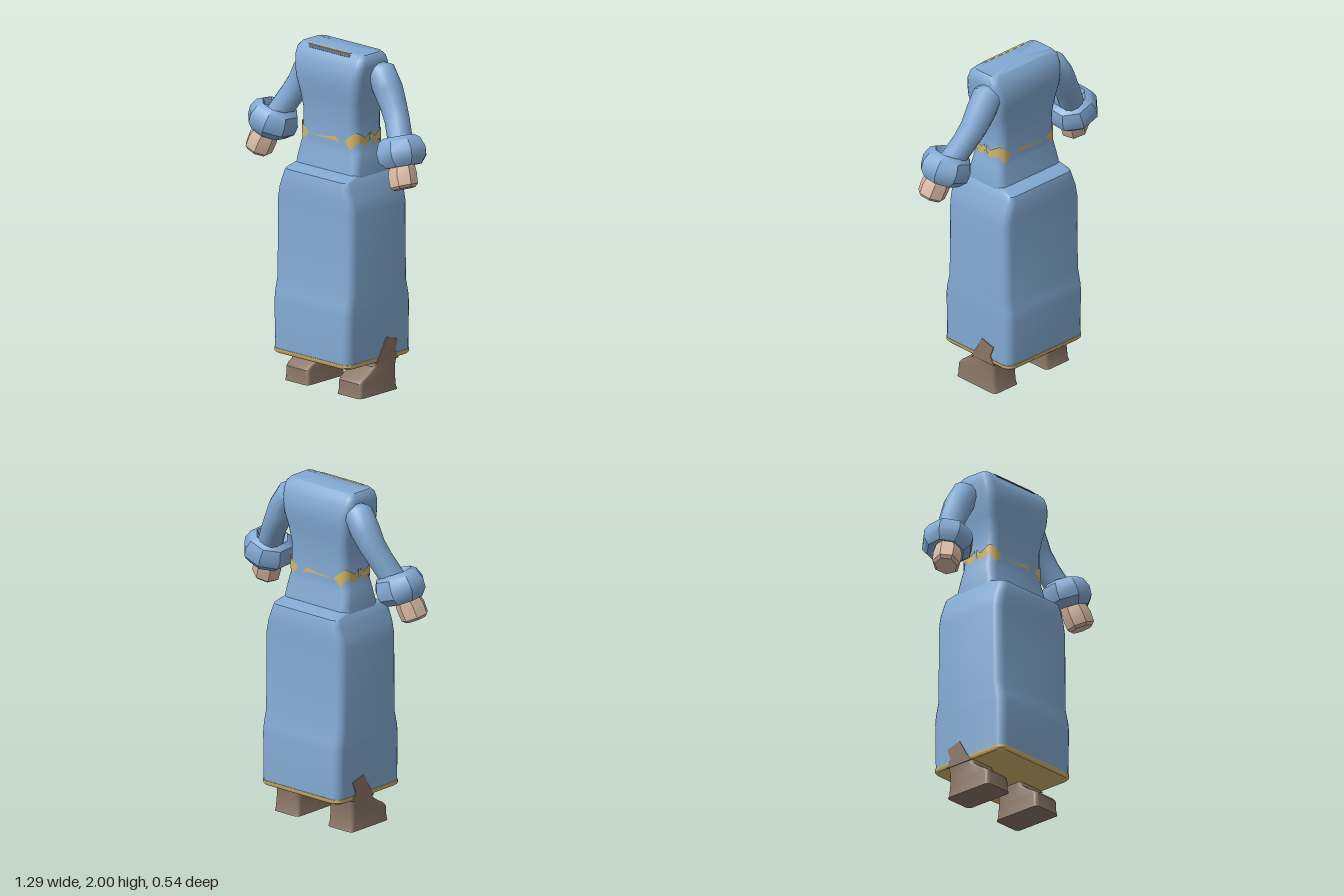
import * as THREE from 'three';
import { toCreasedNormals } from 'three/addons/utils/BufferGeometryUtils.js';

const V = (x, y, z) => new THREE.Vector3(x, y, z);
const mat = (name, color, side = THREE.FrontSide) => {
  const m = new THREE.MeshStandardMaterial({ color, side });
  m.name = name;
  return m;
};

// Skin a stack of equal-length rings and close both ends.
function loft(rings, crease = 0.8) {
  const n = rings[0].length, pos = [], idx = [];
  rings.forEach(r => r.forEach(p => pos.push(p.x, p.y, p.z)));
  for (let i = 0; i < rings.length - 1; i++) {
    for (let j = 0; j < n; j++) {
      const a = i * n + j, b = i * n + (j + 1) % n;
      idx.push(a, b, b + n, a, b + n, a + n);
    }
  }
  [0, rings.length - 1].forEach(i => {
    const c = rings[i].reduce((s, p) => s.add(p), V(0, 0, 0)).divideScalar(n);
    const k = pos.length / 3;
    pos.push(c.x, c.y, c.z);
    for (let j = 0; j < n; j++) {
      const a = i * n + j, b = i * n + (j + 1) % n;
      if (i) idx.push(k, a, b); else idx.push(k, b, a);
    }
  });
  const g = new THREE.BufferGeometry();
  g.setAttribute('position', new THREE.Float32BufferAttribute(pos, 3));
  g.setIndex(idx);
  return toCreasedNormals(g, crease);
}

// Horizontal rounded rectangle.
function rect(y, hx, hz, r, cx = 0, cz = 0) {
  const out = [];
  [[1, 1], [1, -1], [-1, -1], [-1, 1]].forEach(([sx, sz], q) => {
    for (let k = 0; k <= 4; k++) {
      const a = (q + k / 4) * Math.PI / 2;
      out.push(V(cx + sx * (hx - r) + r * Math.sin(a), y, cz + sz * (hz - r) + r * Math.cos(a)));
    }
  });
  return out;
}

// Round limb through points [x, y, z, radius], optionally with one fixed axis.
function limb(pts, sides, axis, crease) {
  const c = pts.map(p => V(p[0], p[1], p[2]));
  return loft(c.map((p, i) => {
    const t = axis ? axis.clone().normalize()
      : c[Math.min(i + 1, c.length - 1)].clone().sub(c[Math.max(i - 1, 0)]).normalize();
    const v = V(0, 0, 1).addScaledVector(t, -t.z).normalize();
    const u = t.clone().cross(v);
    return Array.from({ length: sides }, (_, j) => {
      const a = (j + 0.5) / sides * Math.PI * 2;
      return p.clone().addScaledVector(v, pts[i][3] * Math.cos(a)).addScaledVector(u, pts[i][3] * Math.sin(a));
    });
  }), crease);
}

// Waist outline by arc length from the centre front.
const WX = 0.218, WZ = 0.12, WR = 0.05;
function waistPoint(s, y) {
  const flat = WX - WR, arc = WR * Math.PI / 2;
  const e = 0.004;
  if (s < flat) return V(s, y, WZ + e);
  if (s < flat + arc) {
    const a = (s - flat) / WR;
    return V(flat + (WR + e) * Math.sin(a), y, WZ - WR + (WR + e) * Math.cos(a));
  }
  return V(WX + e, y, WZ - WR - (s - flat - arc));
}

// Thin belt patch wrapped round the waist; stations are [arc, low, high].
function beltPatch(stations, sx, sz) {
  const pos = [], idx = [];
  for (let i = 0; i < stations.length - 1; i++) {
    for (let k = 0; k <= 4; k++) {
      const [s, lo, hi] = stations[i].map((v, q) => v + (stations[i + 1][q] - v) * k / 4);
      [lo, hi].forEach(y => {
        const p = waistPoint(s, y);
        pos.push(p.x * sx, p.y, p.z * sz);
      });
      if (k < 4) {
        const a = pos.length / 3 - 2;
        if (sx * sz > 0) idx.push(a, a + 2, a + 3, a, a + 3, a + 1);
        else idx.push(a, a + 3, a + 2, a, a + 1, a + 3);
      }
    }
  }
  const g = new THREE.BufferGeometry();
  g.setAttribute('position', new THREE.Float32BufferAttribute(pos, 3));
  g.setIndex(idx);
  g.computeVertexNormals();
  return g;
}

export function createModel() {
  const group = new THREE.Group();
  const blue = mat('robe blue', 0x82a9d2);
  const gold = mat('trim gold', 0xd2b56c, THREE.DoubleSide);
  const brown = mat('boot brown', 0x8a7565);
  const skin = mat('skin', 0xd8b8a2);
  const dark = mat('neck slit dark', 0x46566b);
  const add = (name, geo, m) => {
    const mesh = new THREE.Mesh(geo, m);
    mesh.name = name;
    group.add(mesh);
    return mesh;
  };

  // Skirt: [height, half width, half depth, corner radius]
  add('skirt', loft([
    [0.2, 0.297, 0.266, 0.05], [0.5, 0.3, 0.268, 0.05], [0.55, 0.3, 0.262, 0.05],
    [0.63, 0.298, 0.245, 0.05], [1.1, 0.298, 0.24, 0.05], [1.17, 0.285, 0.24, 0.05],
    [1.24, 0.258, 0.237, 0.045], [1.275, 0.247, 0.228, 0.04], [1.3, 0.235, 0.15, 0.04],
  ].map(a => rect(...a))), blue);

  // Bodice
  add('bodice', loft([
    [1.26, 0.243, 0.152, 0.045], [1.32, 0.24, 0.142, 0.045], [1.42, 0.228, 0.122, 0.05],
    [1.45, WX, WZ, WR], [1.54, WX - 0.005, WZ, WR], [1.62, 0.212, 0.121, 0.05],
    [1.72, 0.23, 0.13, 0.05], [1.8, 0.248, 0.143, 0.05], [1.87, 0.255, 0.145, 0.05],
    [1.93, 0.262, 0.132, 0.045], [1.975, 0.26, 0.112, 0.04], [2, 0.24, 0.09, 0.035],
  ].map(a => rect(...a))), blue);

  // Hem and skirt underside
  add('hem', loft([rect(0.19, 0.292, 0.262, 0.05), rect(0.2, 0.3, 0.27, 0.05), rect(0.217, 0.3, 0.27, 0.05)]), gold);

  // Neck slit
  const slit = add('neckSlit', new THREE.BoxGeometry(0.32, 0.018, 0.006), dark);
  slit.position.set(0, 1.988, 0.1);
  slit.rotation.x = -0.7;
  const lining = add('neckLining', new THREE.BoxGeometry(0.32, 0.004, 0.014), gold);
  lining.position.set(-0.01, 1.999, 0.087);

  // Broken belt
  for (const sz of [1, -1]) {
    add('beltStrip', beltPatch([[0, 1.478, 1.49], [0.07, 1.478, 1.504], [0.1, 1.468, 1.47]], 1, sz), gold);
    add('beltStrip', beltPatch([[0, 1.478, 1.49], [0.06, 1.478, 1.484], [0.11, 1.48, 1.482]], -1, sz), gold);
    for (const sx of [1, -1]) {
      add('beltPatch', beltPatch([[0.14, 1.485, 1.49], [0.185, 1.435, 1.525], [0.215, 1.48, 1.545],
        [0.25, 1.475, 1.525], [0.28, 1.45, 1.505], [0.312, 1.49, 1.535]], sx, sz), gold);
    }
  }

  for (const s of [1, -1]) {
    const side = s > 0 ? 'left' : 'right';
    const flip = pts => pts.map(p => [s * p[0], ...p.slice(1)]);

    // Sleeve
    add(side + 'Sleeve', limb(flip([
      [0.2, 1.87, -0.045, 0.075], [0.265, 1.87, -0.052, 0.088], [0.315, 1.79, -0.052, 0.085],
      [0.36, 1.71, -0.045, 0.077], [0.41, 1.63, -0.025, 0.072], [0.49, 1.49, 0.025, 0.072],
    ]), 12, null, 1.2), blue);

    // Turned-back cuff
    add(side + 'Cuff', limb(flip([
      [0.485, 1.53, 0.03, 0.065], [0.47, 1.562, 0.03, 0.095], [0.477, 1.54, 0.03, 0.13],
      [0.495, 1.49, 0.035, 0.152], [0.512, 1.44, 0.04, 0.148], [0.528, 1.4, 0.045, 0.11],
      [0.52, 1.425, 0.045, 0.06],
    ]), 8, V(s * 0.32, -0.93, 0.1), 0.6), blue);

    // Hand
    add(side + 'Hand', limb(flip([
      [0.52, 1.43, 0.06, 0.07], [0.545, 1.36, 0.078, 0.085], [0.568, 1.3, 0.088, 0.082], [0.572, 1.285, 0.09, 0.066],
    ]), 7, V(s * 0.36, -0.92, 0.12), 0.6), skin);

    // Boot: [height, half width, back z, front z]
    add(side + 'Boot', loft([
      [0, 0.095, -0.155, 0.165], [0.02, 0.092, -0.148, 0.16], [0.085, 0.09, -0.142, 0.157],
      [0.105, 0.09, -0.142, 0.14], [0.135, 0.09, -0.142, 0.085], [0.165, 0.092, -0.145, 0.045],
      [0.22, 0.095, -0.155, 0.03],
    ].map(([y, hx, b, f]) => rect(y, hx, (f - b) / 2, 0.025, s * 0.205, (f + b) / 2)), 0.6), brown);

    // Boot patch on the side of the skirt, drawn in (-z, y)
    const shape = new THREE.Shape([[-0.035, 0.185], [0, 0.235], [0.05, 0.325], [0.145, 0.3],
      [0.12, 0.235], [0.15, 0.185]].map(p => new THREE.Vector2(...p)));
    const patch = add(side + 'BootSide', new THREE.ExtrudeGeometry(shape, { depth: 0.007, bevelEnabled: false }), brown);
    patch.rotation.y = Math.PI / 2;
    patch.position.x = s > 0 ? 0.296 : -0.303;
  }
  return group;
}
